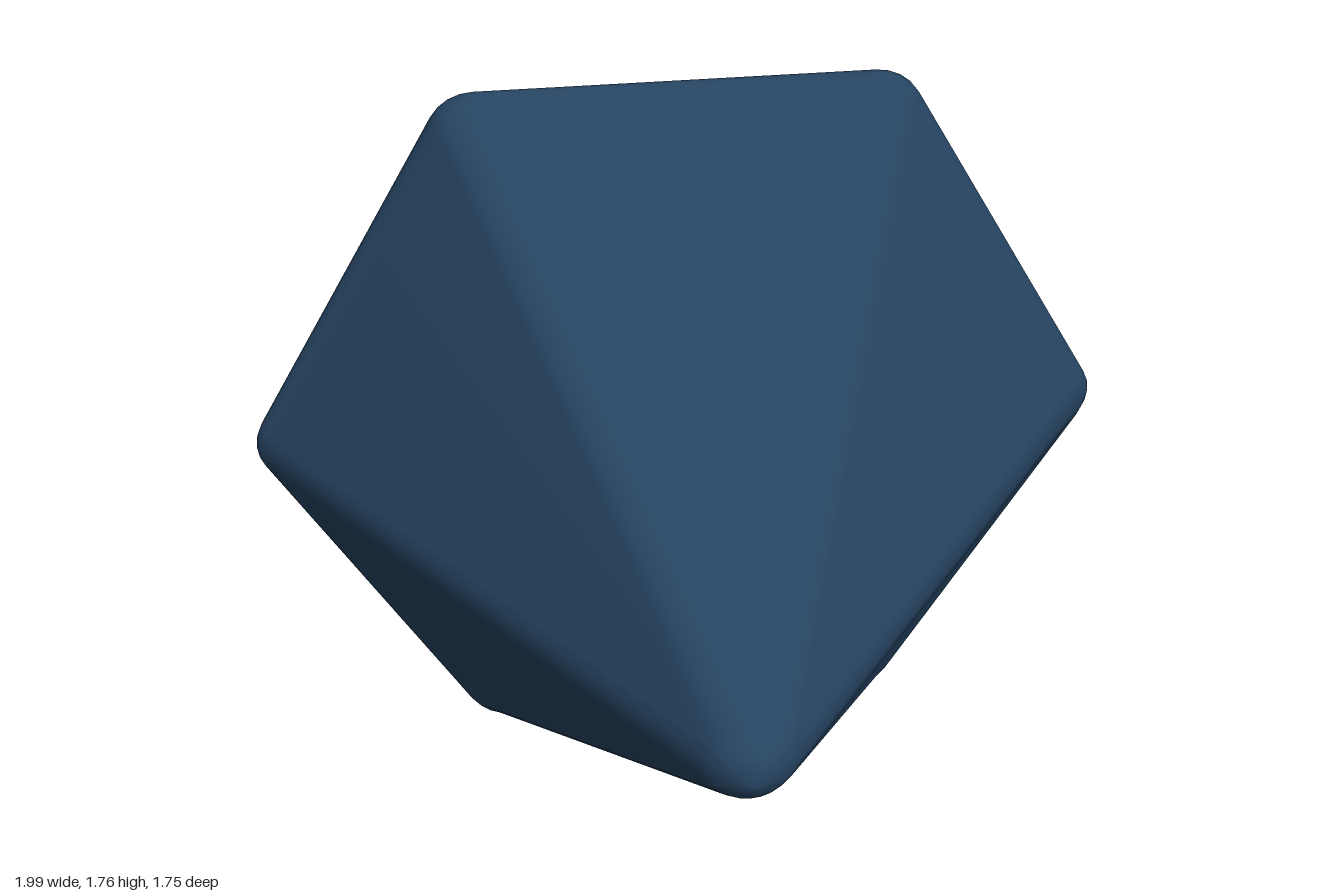
import * as THREE from 'three';

const CENTER_Y = 0.88;
const CORNER_RADIUS = 0.11;
const CORNER_STEPS = 4;

// Rounded hexagon with a given apothem, corners on the x axis
function hexSection(apothem, z) {
  const radius = Math.min(CORNER_RADIUS, apothem);
  const reach = (apothem - radius) / Math.cos(Math.PI / 6);
  const points = [];
  for (let side = 0; side < 6; side++) {
    const mid = side * Math.PI / 3;
    for (let i = 0; i <= CORNER_STEPS; i++) {
      const a = mid + (i / CORNER_STEPS - 0.5) * Math.PI / 3;
      points.push([
        reach * Math.cos(mid) + radius * Math.cos(a),
        CENTER_Y + reach * Math.sin(mid) + radius * Math.sin(a),
        z,
      ]);
    }
  }
  return points;
}

// Loft the sections from the front tip to the flat back
function gemGeometry(profile, tipZ, backZ) {
  const rings = profile.map(([apothem, z]) => hexSection(apothem, z));
  const n = rings[0].length;
  const last = rings.length - 1;
  const vertices = [...rings.flat(), [0, CENTER_Y, tipZ], [0, CENTER_Y, backZ]];
  const tip = rings.length * n;
  const back = tip + 1;
  const index = [];
  for (let j = 0; j < n; j++) {
    const next = (j + 1) % n;
    index.push(tip, j, next);
    for (let k = 0; k < last; k++) {
      const a = k * n, b = a + n;
      index.push(a + j, b + j, b + next, a + j, b + next, a + next);
    }
    index.push(back, last * n + next, last * n + j);
  }
  const geometry = new THREE.BufferGeometry();
  geometry.setAttribute('position', new THREE.Float32BufferAttribute(vertices.flat(), 3));
  geometry.setIndex(index);
  geometry.computeVertexNormals(); // large facets dominate, bevels blend softly
  return geometry;
}

export function createModel() {
  const model = new THREE.Group();
  model.name = 'gem';

  const gemBlue = new THREE.MeshStandardMaterial({ color: 0x264462 });
  gemBlue.name = 'deep blue';

  // Apothem and z of each section: blunt tip, girdle bevel, back bevel
  const profile = [
    [0.05, 0.842], [0.08, 0.82], [0.1, 0.795],
    [0.849, -0.38], [0.868, -0.405], [0.878, -0.425], [0.876, -0.442], [0.86, -0.464],
    [0.58, -0.835], [0.562, -0.855], [0.54, -0.869], [0.51, -0.874],
  ];
  const crystal = new THREE.Mesh(gemGeometry(profile, 0.872, -0.874), gemBlue);
  crystal.name = 'crystal';
  model.add(crystal);

  return model;
}
